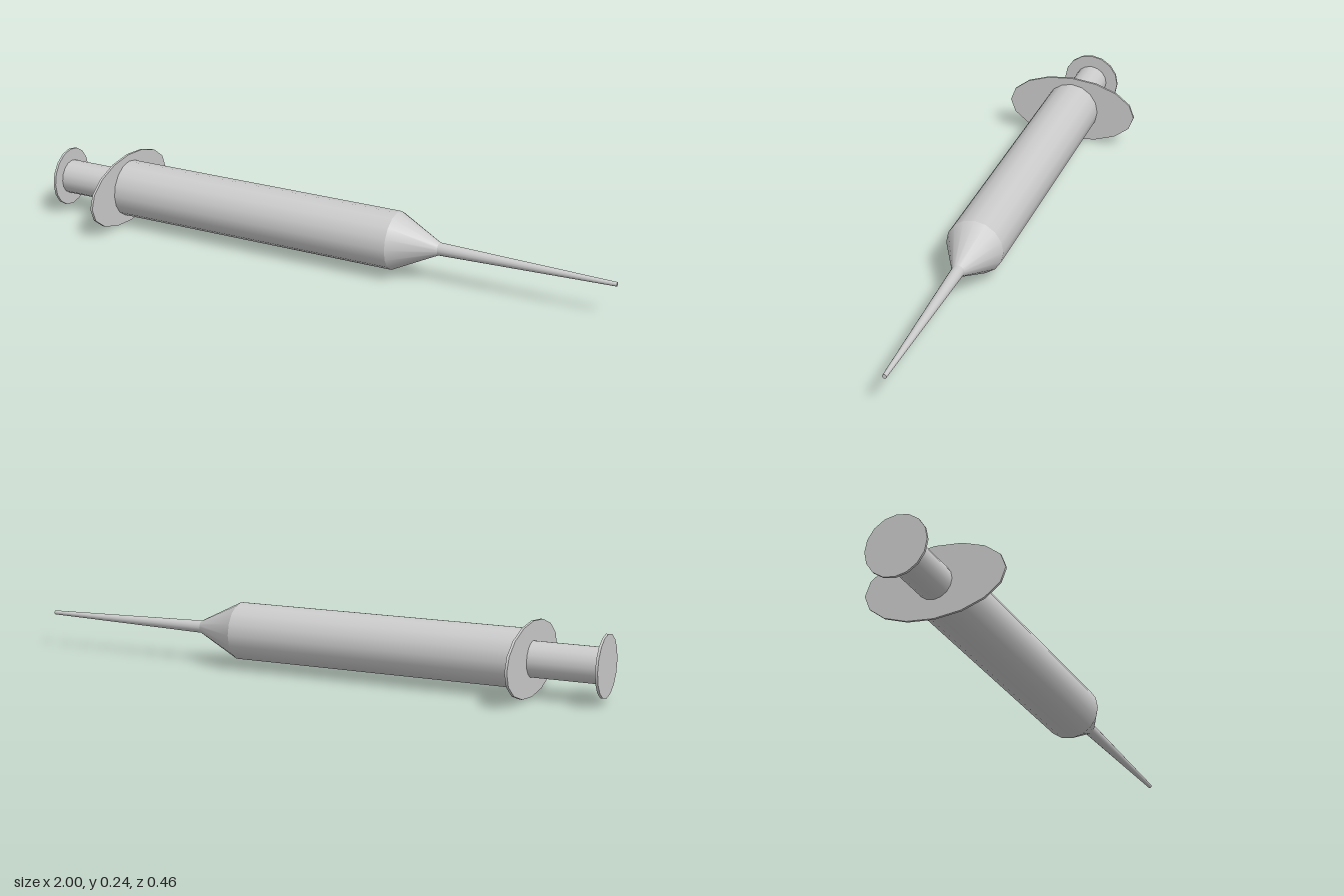
import * as THREE from 'three';

const SIDES = 16;
const AXIS_Y = 0.122;

export function createModel() {
  const group = new THREE.Group();
  group.name = 'syringe';
  const material = new THREE.MeshStandardMaterial({ color: 0xcccccc });

  // Round section lying along x, from x0 (radius r0) to x1 (radius r1)
  function section(name, x0, x1, r0, r1, open = false, stretchZ = 1) {
    const geometry = new THREE.CylinderGeometry(r1, r0, x1 - x0, SIDES, 1, open);
    geometry.rotateZ(-Math.PI / 2);
    geometry.scale(1, 1, stretchZ);
    const mesh = new THREE.Mesh(geometry, material);
    mesh.name = name;
    mesh.position.set((x0 + x1) / 2, AXIS_Y, 0);
    group.add(mesh);
  }

  // Plunger with its thumb disc
  section('thumbRest', -1, -0.992, 0.1, 0.1);
  section('plungerRod', -0.992, -0.757, 0.058, 0.058, true);

  // Oval finger flange
  section('fingerFlange', -0.761, -0.753, 0.12, 0.12, false, 0.231 / 0.12);

  // Barrel, tapered nose and needle
  section('barrel', -0.753, 0.26, 0.096, 0.096, true);
  section('nose', 0.26, 0.41, 0.096, 0.021, true);
  section('needle', 0.41, 1, 0.021, 0.007);

  return group;
}
